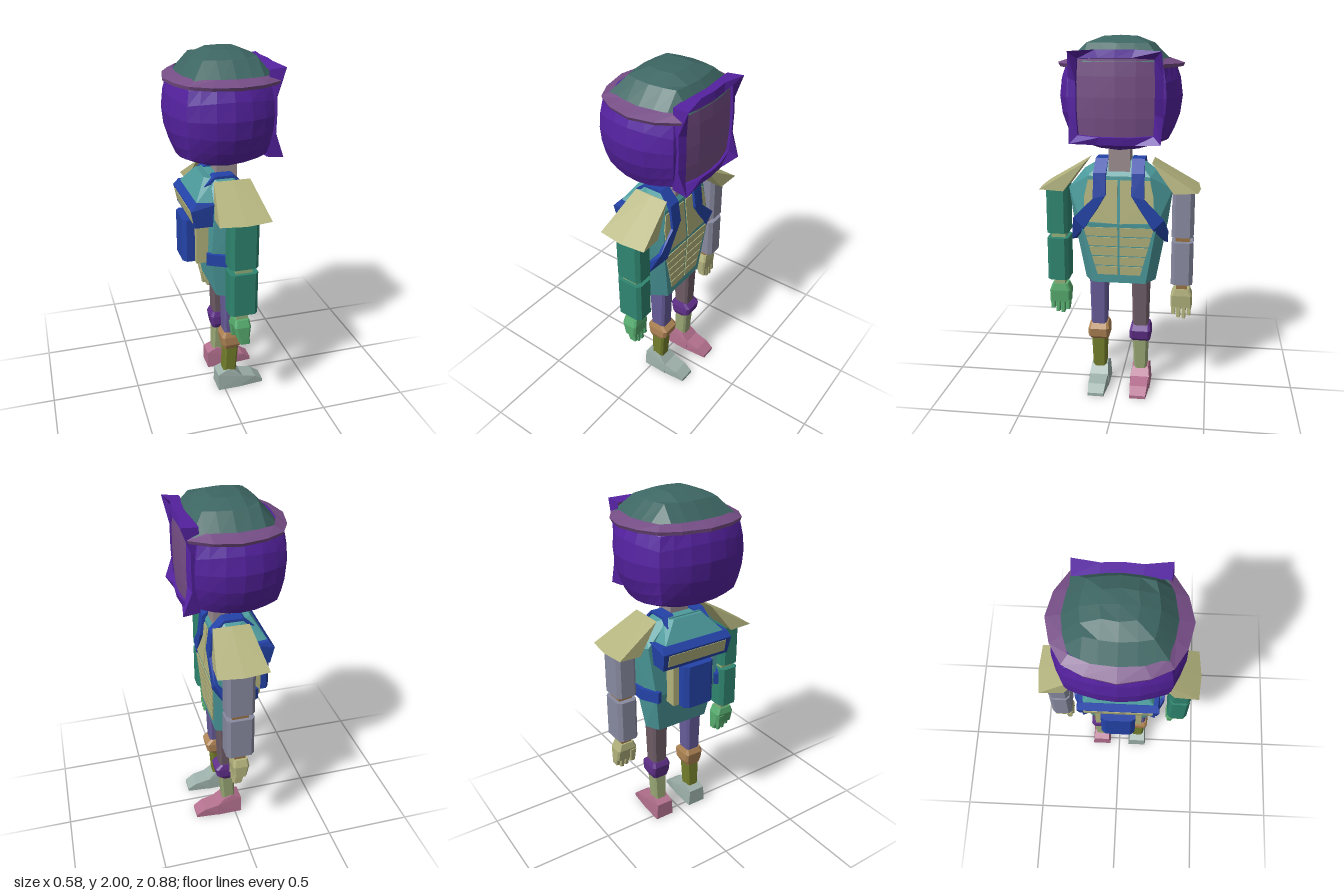
import * as THREE from 'three';
import { ConvexGeometry } from 'three/addons/geometries/ConvexGeometry.js';

const TEAL = 0x4c9a9c, CREAM = 0xb3b37e, BLUE = 0x2443a8, PURPLE = 0x5522a0, MAUVE = 0x754d85;

export function createModel() {
  const model = new THREE.Group();

  const add = (name, geometry, color, side = THREE.FrontSide) => {
    const material = new THREE.MeshStandardMaterial({ color, flatShading: true, side });
    const mesh = new THREE.Mesh(geometry, material);
    mesh.name = name;
    model.add(mesh);
    return mesh;
  };
  // Faceted solid around a few points
  const hull = (name, color, pts) =>
    add(name, new ConvexGeometry(pts.map(p => new THREE.Vector3(...p))), color);
  const mirrorZ = pts => pts.flatMap(([x, y, z]) => [[x, y, z], [x, y, -z]]);
  const box = (name, color, x0, x1, y0, y1, z0, z1) => {
    const g = new THREE.BoxGeometry(x1 - x0, y1 - y0, Math.abs(z1 - z0));
    g.translate((x0 + x1) / 2, (y0 + y1) / 2, (z0 + z1) / 2);
    return add(name, g, color);
  };
  // Upright block with chamfered corners; c is the chamfer, centred on (x, z)
  const ring = (x, y, z, hx, hz, c) => [-1, 1].flatMap(a => [-1, 1].flatMap(b =>
    [[x + a * hx, y, z + b * (hz - c)], [x + a * (hx - c), y, z + b * hz]]));
  // Surface through a series of equal-length rows of points
  const loft = (rows, closed) => {
    const n = rows[0].length, idx = [];
    for (let r = 0; r < rows.length - 1; r++)
      for (let i = 0; i < (closed ? n : n - 1); i++) {
        const j = (i + 1) % n, a = r * n + i, b = r * n + j;
        idx.push(a, b, a + n, b, b + n, a + n);
      }
    const g = new THREE.BufferGeometry();
    g.setAttribute('position', new THREE.Float32BufferAttribute(rows.flat(2), 3));
    g.setIndex(idx);
    g.computeVertexNormals();
    return g;
  };

  // Helmet: a box rounded towards a sphere, cut flat at the top and at the face
  const shell = new THREE.BoxGeometry(2, 2, 2, 6, 6, 6);
  const v = new THREE.Vector3();
  for (let i = 0, p = shell.attributes.position; i < p.count; i++) {
    v.fromBufferAttribute(p, i);
    v.lerp(v.clone().normalize(), 0.75);
    p.setXYZ(i, Math.min(v.x * 0.29, 0.235), Math.min(1.69 + v.y * 0.3, 1.87), v.z * 0.33);
  }
  add('helmet', shell, PURPLE);

  // Bowed face panel and its raised frame with pointed corners
  const bow = (y, z) => 0.277 - 0.75 * z * z - 0.25 * (y - 1.69) ** 2;
  const face = new THREE.PlaneGeometry(0.42, 0.42, 4, 4).rotateY(Math.PI / 2);
  for (let i = 0, p = face.attributes.position; i < p.count; i++) {
    const y = 1.695 + p.getY(i);
    p.setXYZ(i, bow(y, p.getZ(i)), y, p.getZ(i));
  }
  add('facePanel', face, MAUVE, THREE.DoubleSide);
  const frameLoop = (h, lift, spike, back) => Array.from({ length: 16 }, (_, i) => {
    const a = (i / 16) * Math.PI * 2, c = Math.cos(a), s = Math.sin(a);
    const m = Math.max(Math.abs(c), Math.abs(s));
    const corner = i % 4 === 2;
    const k = h * (corner ? 0.97 : 1);
    const z = k * c / m, y = 1.692 + k * s / m * 0.98;
    return [back ?? (corner && spike ? 0.29 : bow(y, z) + lift), y, z];
  });
  add('faceFrame', loft([frameLoop(0.235, 0, false, 0.2), frameLoop(0.243, 0.012, true),
    frameLoop(0.202, 0.014, false), frameLoop(0.198, -0.01, false)], true), PURPLE, THREE.DoubleSide);

  // Domed cap
  const cap = new THREE.PlaneGeometry(2, 2, 6, 6).rotateX(-Math.PI / 2);
  for (let i = 0, p = cap.attributes.position; i < p.count; i++) {
    const x = p.getX(i), z = p.getZ(i), m = Math.max(Math.abs(x), Math.abs(z));
    const k = 0.55 + 0.45 * m / (Math.hypot(x, z) || 1);
    p.setXYZ(i, 0.025 + x * k * 0.245, 1.87 + 0.13 * (1 - m ** 3), z * k * 0.27);
  }
  add('cap', cap, 0x3d6663, THREE.DoubleSide);

  // Brim round the back and sides: [outer x, outer z, inner x, inner z]
  const brimHalf = [[-0.29, 0, -0.22, 0], [-0.26, 0.15, -0.21, 0.12], [-0.21, 0.25, -0.17, 0.22],
    [-0.11, 0.31, -0.08, 0.25], [0.02, 0.34, 0.02, 0.265], [0.15, 0.31, 0.15, 0.245], [0.26, 0.24, 0.22, 0.21]];
  const brim = [...brimHalf.slice(1).reverse().map(([a, b, c, d]) => [a, -b, c, -d]), ...brimHalf];
  add('brim', loft([brim.map(p => [p[2], 1.885, p[3]]), brim.map(p => [p[0], 1.86, p[1]]),
    brim.map(p => [p[0] * 0.99, 1.842, p[1] * 0.97]), brim.map(p => [p[2], 1.835, p[3]])], false),
    MAUVE, THREE.DoubleSide);

  box('neck', 0x9b8c90, -0.02, 0.095, 1.28, 1.42, -0.058, 0.058);

  // Torso
  hull('torso', TEAL, mirrorZ([
    [0.06, 1.34, 0.1], [-0.07, 1.34, 0.1], [0.03, 1.29, 0.2],
    [0.11, 1.26, 0.17], [0.135, 1, 0.21], [0.115, 0.65, 0.15],
    [0.04, 1.18, 0.29], [0.04, 1, 0.265], [0.03, 0.65, 0.2],
    [-0.08, 1.2, 0.24], [-0.09, 0.9, 0.2], [-0.05, 0.65, 0.16]]));
  const front = y => y > 1 ? 0.135 - (y - 1) * 0.096 : 0.135 - (1 - y) * 0.057;
  const plate = (name, yz) => hull(name, CREAM,
    yz.flatMap(([y, z]) => [[front(y) - 0.01, y, z], [front(y) + 0.005, y, z]]));
  for (const s of [1, -1]) {
    plate('chestPlate', [[1.24, s * 0.008], [1.24, s * 0.17], [1.15, s * 0.19], [1.01, s * 0.19], [1.0, s * 0.008]]);
    for (let i = 0; i < 5; i++) {
      const y0 = 0.7 + i * 0.057, y1 = y0 + 0.05, w = y => s * (0.12 + (y - 0.7) * 0.27);
      plate('bellyPlate', [[y0, s * 0.006], [y0, w(y0)], [y1, w(y1)], [y1, s * 0.006]]);
    }
  }

  // Backpack
  hull('backpackTop', TEAL, mirrorZ([[-0.1, 1.34, 0.09], [-0.05, 1.33, 0.12], [-0.17, 1.23, 0.19],
    [-0.05, 1.2, 0.22]]));
  hull('backpackFlap', BLUE, mirrorZ([[-0.17, 1.235, 0.21], [-0.2, 1.2, 0.22], [-0.18, 1.1, 0.21],
    [-0.06, 1.1, 0.21], [-0.06, 1.23, 0.22]]));
  hull('flapPanel', CREAM, mirrorZ([[-0.202, 1.19, 0.185], [-0.188, 1.12, 0.185],
    [-0.17, 1.19, 0.185], [-0.17, 1.12, 0.185]]));
  box('backpackBody', CREAM, -0.155, -0.05, 0.85, 1.11, -0.13, 0.13);
  hull('backpackPocket', BLUE, mirrorZ([0.85, 1.1].flatMap(y =>
    [[-0.22, y, 0.07], [-0.2, y, 0.095], [-0.15, y, 0.095]])));

  // Straps: [x, y, z, half-width y, half-width z, outward x, y, z]
  const strapPath = [
    [-0.1, 1.28, 0.1, 0, 0.035, -0.01, 0.02, 0],
    [-0.05, 1.335, 0.1, 0, 0.035, 0, 0.015, 0],
    [0.055, 1.335, 0.1, 0, 0.035, 0, 0.015, 0],
    [0.105, 1.27, 0.105, 0, 0.035, 0.02, 0.01, 0],
    [0.12, 1.15, 0.105, -0.01, 0.035, 0.022, 0, 0],
    [0.118, 1.0, 0.21, 0.03, 0.03, 0.022, 0, 0.01],
    [0.06, 0.92, 0.25, 0.033, 0, 0.01, 0, 0.02],
    [-0.02, 0.905, 0.235, 0.033, 0, 0, 0, 0.025],
    [-0.11, 0.905, 0.18, 0.033, 0, -0.01, 0, 0.025]];
  const strapCut = ([x, y, z, wy, wz, nx, ny, nz], s) => [-1, 1].flatMap(a => [0, 1].map(b =>
    [x + b * nx, y + a * wy + b * ny, s * (z + a * wz + b * nz)]));
  for (const s of [1, -1])
    for (let i = 0; i < strapPath.length - 1; i++)
      hull('strap', BLUE, [...strapCut(strapPath[i], s), ...strapCut(strapPath[i + 1], s)]);

  // Arms and legs, each side with its own colours
  const sides = [
    { s: 1, arm: 0x2f8570, joint: 0x93b27c, hand: 0x58ae70, thigh: 0x675c99, knee: 0xb08555, shin: 0x75802c, foot: 0x9db0aa },
    { s: -1, arm: 0x888aa0, joint: 0x9a7242, hand: 0xb3b37e, thigh: 0x6e5c66, knee: 0x60308a, shin: 0x9aa876, foot: 0xb3708e }];
  for (const { s, ...c } of sides) {
    const za = s * 0.35, zl = s * 0.12;
    hull('shoulderPad', CREAM, [[-0.07, 1.34, 0.18], [0.13, 1.34, 0.18], [0.03, 1.34, 0.185],
      [-0.11, 1.19, 0.43], [0.17, 1.19, 0.43], [0.03, 1.185, 0.442],
      [-0.1, 1.18, 0.3], [0.16, 1.18, 0.3]].map(([x, y, z]) => [x, y, s * z]));
    for (const [name, y0, y1] of [['upperArm', 0.925, 1.2], ['forearm', 0.65, 0.895]])
      hull(name, c.arm, [...ring(0.035, y0, za, 0.078, 0.06, 0.02), ...ring(0.035, y1, za, 0.078, 0.06, 0.02)]);
    box('elbow', c.joint, -0.01, 0.08, 0.88, 0.94, za - 0.04, za + 0.04);
    box('wrist', c.joint, 0, 0.065, 0.59, 0.66, za - 0.03, za + 0.03);

    // Hand with four fingers and a thumb
    hull('palm', c.hand, [...ring(0.03, 0.61, za, 0.04, 0.045, 0.01), ...ring(0.03, 0.57, za, 0.046, 0.06, 0.01),
      ...ring(0.035, 0.5, za, 0.035, 0.06, 0.01)]);
    for (let i = 0; i < 4; i++) {
      const z = za + (i - 1.5) * 0.029, tip = [0.455, 0.435, 0.44, 0.46][i];
      hull('finger', c.hand, [...ring(0.04, 0.52, z, 0.028, 0.0135, 0.004), ...ring(0.05, tip, z, 0.022, 0.011, 0.004)]);
    }
    hull('thumb', c.hand, [...ring(0, 0.56, za - s * 0.035, 0.02, 0.02, 0.005),
      ...ring(0.005, 0.48, za - s * 0.035, 0.014, 0.014, 0.004)]);

    hull('thigh', c.thigh, [...ring(0.045, 0.67, zl, 0.055, 0.05, 0.014), ...ring(0.045, 0.37, zl, 0.045, 0.044, 0.012)]);
    hull('kneePad', c.knee, [...ring(0.04, 0.39, zl, 0.045, 0.052, 0.012), ...ring(0.05, 0.36, zl, 0.068, 0.06, 0.014),
      ...ring(0.05, 0.31, zl, 0.06, 0.06, 0.014), ...ring(0.035, 0.28, zl, 0.04, 0.048, 0.012)]);
    hull('shin', c.shin, [...ring(0.045, 0.3, zl, 0.042, 0.044, 0.012), ...ring(0.035, 0.1, zl, 0.038, 0.038, 0.012)]);

    // Foot: ankle block and sloping toe
    const footPart = (name, outline) => hull(name, c.foot,
      outline.flatMap(([x, y, w]) => [[x, y, zl - w], [x, y, zl + w]]));
    footPart('heel', [[-0.04, 0, 0.058], [-0.04, 0.1, 0.05], [0.02, 0.128, 0.046], [0.065, 0.115, 0.046],
      [0.11, 0.07, 0.055], [0.11, 0, 0.058]]);
    footPart('toe', [[0.08, 0, 0.058], [0.08, 0.078, 0.052], [0.19, 0.052, 0.05], [0.24, 0.018, 0.045], [0.24, 0, 0.045]]);
  }
  return model;
}
